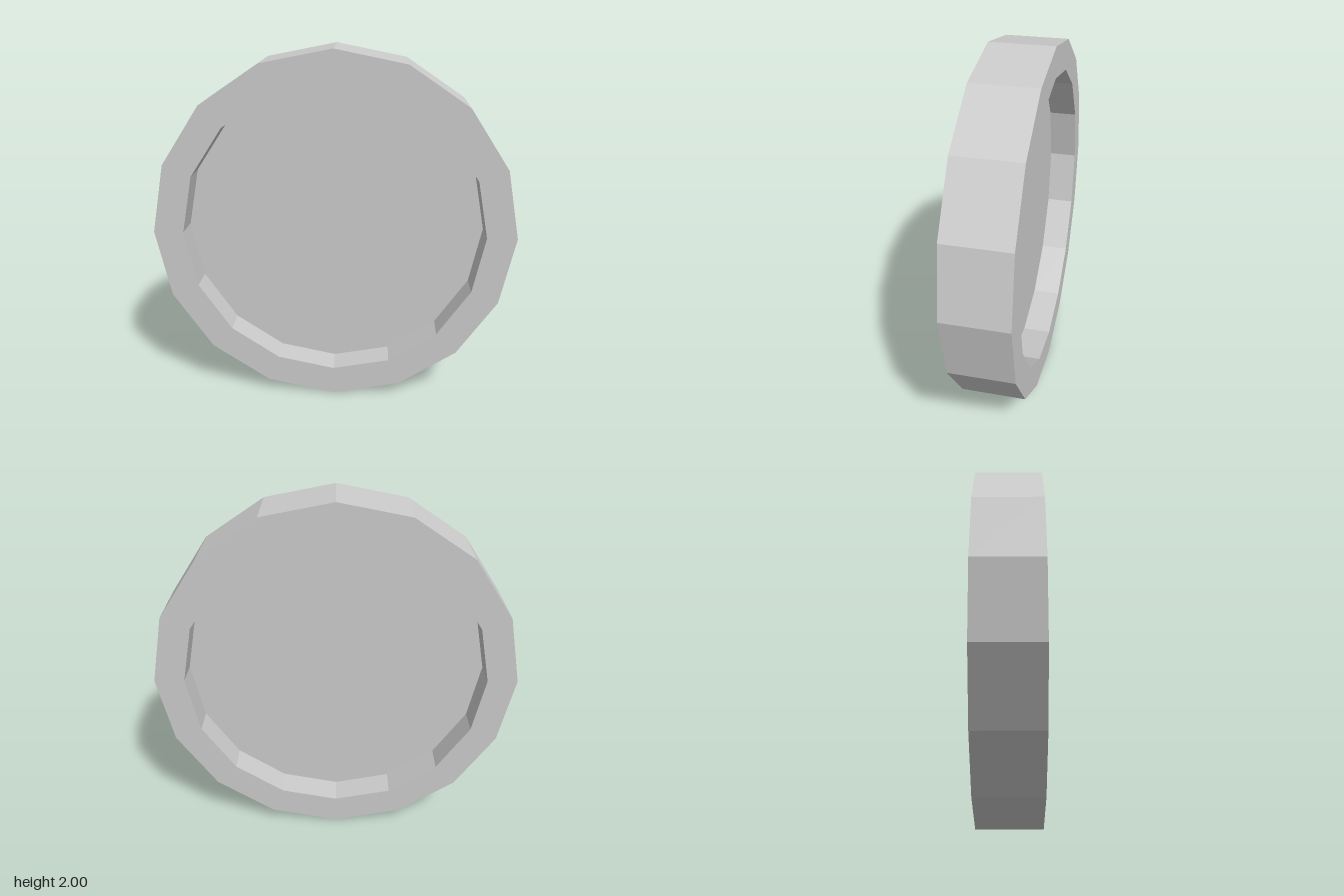
import * as THREE from 'three';

const SIDES = 16;
const OUTER = 1, INNER = 0.835;   // rim radii
const HALF = 0.175, FLOOR = 0.015; // half depth of the rim and of the centre web

export function createModel() {
  const model = new THREE.Group();
  model.name = 'recessedDisc';
  const material = new THREE.MeshStandardMaterial({ color: 0xcccccc, flatShading: true });

  // Faceted rim: inner back wall, back face, outer wall, front face, inner front wall
  const profile = [
    [INNER, -FLOOR], [INNER, -HALF], [OUTER, -HALF],
    [OUTER, HALF], [INNER, HALF], [INNER, FLOOR],
  ].map(([r, y]) => new THREE.Vector2(r, y));
  const rimGeometry = new THREE.LatheGeometry(profile, SIDES).rotateX(Math.PI / 2).toNonIndexed();
  rimGeometry.computeVertexNormals();
  const rim = new THREE.Mesh(rimGeometry, material);
  rim.name = 'rim';
  rim.position.y = OUTER;
  model.add(rim);

  // Sunken panels on both sides
  for (const side of [1, -1]) {
    const panel = new THREE.Mesh(new THREE.CircleGeometry(INNER, SIDES), material);
    panel.name = side > 0 ? 'frontPanel' : 'backPanel';
    panel.position.set(0, OUTER, side * FLOOR);
    if (side < 0) panel.rotation.y = Math.PI;
    model.add(panel);
  }
  return model;
}
